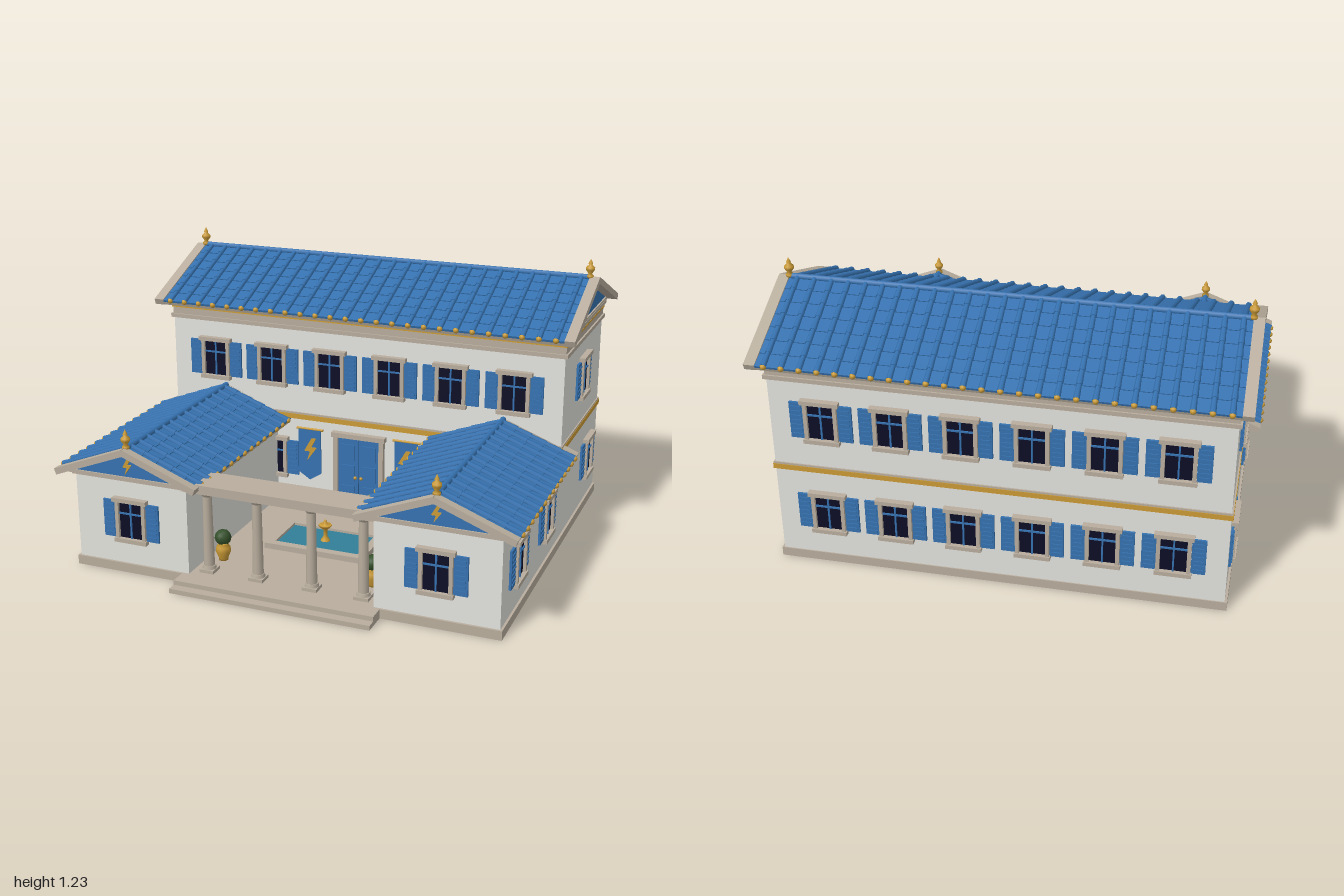
import * as THREE from 'three';
import { mergeGeometries } from 'three/addons/utils/BufferGeometryUtils.js';

const mat = (name, color, opts = {}) => {
  const m = new THREE.MeshStandardMaterial({ color, ...opts });
  m.name = name;
  return m;
};

export function createModel() {
  const wall = mat('plaster white', 0xe2e2dd);
  const stone = mat('limestone', 0xb8ad9d);
  const blue = mat('tile blue', 0x3672b0);
  const gold = mat('gold', 0xcb9b36);
  const glass = mat('dark glass', 0x0d0d26);
  const water = mat('pool water', 0x327f98);
  const green = mat('leaf green', 0x34502a);

  const root = new THREE.Group();
  root.name = 'courtyardVilla';

  const add = (parent, name, geo, material, x = 0, y = 0, z = 0) => {
    const m = new THREE.Mesh(geo, material);
    m.name = name;
    m.position.set(x, y, z);
    parent.add(m);
    return m;
  };
  const boxGeo = (w, h, d, x = 0, y = 0, z = 0) => new THREE.BoxGeometry(w, h, d).translate(x, y, z);
  // Box given by its limits on each axis
  const span = (parent, name, material, x0, x1, y0, y1, z0, z1) =>
    add(parent, name, boxGeo(x1 - x0, y1 - y0, z1 - z0), material, (x0 + x1) / 2, (y0 + y1) / 2, (z0 + z1) / 2);
  const polygon = (pts, depth) => new THREE.ExtrudeGeometry(
    new THREE.Shape(pts.map(p => new THREE.Vector2(...p))), { depth, bevelEnabled: false });
  const lathe = (pts, n = 12) => new THREE.LatheGeometry(pts.map(p => new THREE.Vector2(...p)), n);

  const boltGeo = h => polygon([[.05, .5], [-.28, -.08], [-.02, -.08], [-.15, -.5], [.28, .1], [.04, .1], [.25, .5]]
    .map(([x, y]) => [x * h, y * h]), 0.006);
  const finialGeo = lathe([[0, 0], [.016, 0], [.016, .01], [.008, .018], [.02, .036], [.02, .046], [.008, .058], [.01, .064], [0, .085]], 10);

  // Shuttered window, shared geometry per colour
  const W = 0.11, H = 0.165;
  const frameParts = [boxGeo(.16, .018, .03, 0, H / 2 + .009, .012), boxGeo(.15, .018, .028, 0, -H / 2 - .007, .012)];
  const barParts = [boxGeo(.007, H, .008, 0, 0, .009), boxGeo(W, .007, .008, 0, .03, .009)];
  for (const s of [-1, 1]) {
    frameParts.push(boxGeo(.016, H, .022, s * (W / 2 + .007), 0, .009));
    const sx = s * (W / 2 + .045);
    barParts.push(boxGeo(.058, H, .01, sx, 0, .005));
    for (let i = 0; i < 7; i++) barParts.push(boxGeo(.042, .007, .006, sx, (i - 3) * .021, .011));
  }
  const frameGeo = mergeGeometries(frameParts), barGeo = mergeGeometries(barParts);
  const paneGeo = boxGeo(W, H, .008, 0, 0, .003);
  const addWindow = (x, y, z, turn = 0) => {
    const g = new THREE.Group();
    g.name = 'window';
    add(g, 'windowPane', paneGeo, glass);
    add(g, 'windowFrame', frameGeo, stone);
    add(g, 'shuttersAndBars', barGeo, blue);
    g.position.set(x, y, z);
    g.rotation.y = turn;
    root.add(g);
  };

  // Gabled tile roof, ridge along local x, origin on the ridge
  function roof(name, len, hw, rise, ribs, courses, rake, boltH, ends) {
    const g = new THREE.Group();
    g.name = name;
    const L = Math.hypot(hw, rise), a = Math.atan2(rise, hw), step = L / courses, gap = len / ribs;
    const tiles = [], caps = [];
    for (let c = 0; c < courses; c++) {
      const z = (c + .5) * step;
      tiles.push(boxGeo(len, .01, step * 1.04).rotateX(-.06).translate(0, 0, z));
      for (let i = 0; i < ribs; i++)
        tiles.push(new THREE.CylinderGeometry(.0135, .0105, step, 7, 1)
          .rotateX(Math.PI / 2).translate(-len / 2 + (i + .5) * gap, .007, z));
    }
    for (let i = 0; i < ribs; i++)
      caps.push(new THREE.SphereGeometry(.013, 8, 6).translate(-len / 2 + (i + .5) * gap, .006, L));
    const tileGeo = mergeGeometries(tiles), capGeo = mergeGeometries(caps);
    for (const side of [0, 1]) {
      const turn = new THREE.Group(), slope = new THREE.Group();
      turn.name = 'roofSide';
      slope.name = 'roofSlope';
      turn.rotation.y = side * Math.PI;
      slope.rotation.x = a;
      turn.add(slope);
      g.add(turn);
      add(slope, 'roofTiles', tileGeo, blue);
      add(slope, 'eaveCaps', capGeo, gold);
      add(slope, 'soffit', boxGeo(len, .014, L), stone, 0, -.011, L / 2);
      for (const s of [-1, 1])
        add(slope, 'bargeboard', boxGeo(rake, .028, L + .004), stone, s * (len + rake) / 2, -.004, L / 2);
    }
    add(g, 'ridgeCap', new THREE.CylinderGeometry(.013, .013, len, 8).rotateZ(Math.PI / 2), blue, 0, .006, 0);
    for (const s of ends) {
      const gable = new THREE.Group();
      gable.name = 'gable';
      gable.rotation.y = s * Math.PI / 2;
      gable.position.x = s * (len / 2 - .012);
      const w = hw - .03, h = rise * w / hw;
      add(gable, 'pediment', polygon([[-w, -h], [w, -h], [0, 0]], .008), blue, 0, -.016, 0);
      add(gable, 'pedimentBase', boxGeo(w * 2, .014, .03), stone, 0, -h - .016, 0);
      add(gable, 'goldBolt', boltGeo(boltH), gold, 0, -rise * .6, .008);
      g.add(gable);
      add(g, 'finial', finialGeo, gold, s * (len / 2), .004, 0);
    }
    root.add(g);
    return g;
  }

  // Plinth and steps
  span(root, 'plinth', stone, -.94, .94, 0, .04, -.84, .8);
  span(root, 'lowerStep', stone, -.44, .44, 0, .02, .8, .91);
  span(root, 'upperStep', stone, -.44, .44, .02, .04, .8, .87);

  // Main block with its bands
  span(root, 'mainWalls', wall, -.93, .93, .04, .955, -.835, -.11);
  const band = (name, m, y0, y1, o) => span(root, name, m, -.93 - o, .93 + o, y0, y1, -.835 - o, -.11 + o);
  band('floorBand', gold, .447, .47, .008);
  band('floorBandTrim', stone, .47, .478, .006);
  band('lowerCornice', stone, .872, .89, .012);
  band('frieze', stone, .89, .945, .004);
  band('friezeLine', gold, .921, .929, .008);
  band('upperCornice', stone, .94, .956, .015);
  roof('mainRoof', 1.88, .44, .175, 26, 7, .045, .09, [-1, 1]).position.set(0, 1.138, -.47);

  // Side wings
  for (const s of [-1, 1]) {
    span(root, 'wingWalls', wall, s * .67 - .26, s * .67 + .26, .04, .43, -.12, .79);
    span(root, 'wingCornice', stone, s * .67 - .275, s * .67 + .275, .415, .432, -.1, .8);
    const r = roof('wingRoof', .92, .325, .125, 14, 5, .038, .075, [1]);
    r.position.set(s * .67, .562, .35);
    r.rotation.y = -Math.PI / 2;
    addWindow(s * .67, .24, .79);
    for (const z of [.56, .11]) addWindow(s * .93, .243, z, s * Math.PI / 2);
    addWindow(s * .93, .253, -.645, s * Math.PI / 2);
    addWindow(s * .93, .695, -.47, s * Math.PI / 2);
    addWindow(s * .43, .253, -.11);
  }

  // Window rows of the main block
  for (let i = 0; i < 6; i++) {
    const x = (i - 2.5) * .286;
    addWindow(x, .695, -.11);
    for (const y of [.253, .695]) addWindow(x, y, -.835, Math.PI);
  }

  // Double door
  for (const s of [-1, 1]) {
    span(root, 'doorLeaf', blue, s * .051 - .049, s * .051 + .049, .04, .39, -.11, -.098);
    for (const y of [.12, .22, .32])
      add(root, 'doorPanel', boxGeo(.066, .075, .008), blue, s * .051, y, -.096);
    add(root, 'doorHandle', new THREE.SphereGeometry(.008, 8, 6), gold, s * .014, .2, -.09);
    span(root, 'doorJamb', stone, s * .111 - .011, s * .111 + .011, .04, .39, -.11, -.085);
    // Banner with bolt
    add(root, 'banner', polygon([[-.055, .12], [-.055, -.09], [0, -.125], [.055, -.09], [.055, .12]], .006),
      blue, s * .235, .29, -.085);
    add(root, 'bannerBolt', boltGeo(.11), gold, s * .23, .315, -.079);
    add(root, 'bannerRod', new THREE.CylinderGeometry(.006, .006, .13, 8).rotateZ(Math.PI / 2), gold, s * .235, .412, -.084);
  }
  span(root, 'doorLintel', stone, -.13, .13, .39, .412, -.11, -.08);

  // Entrance colonnade
  span(root, 'portalBeam', stone, -.44, .44, .405, .432, .67, .79);
  span(root, 'portalBeamCap', stone, -.44, .44, .432, .45, .65, .805);
  const shaftGeo = lathe([[.022, 0], [.022, .3], [.018, .3], [.0175, .31]], 12);
  for (const x of [-.345, -.12, .12, .345]) {
    add(root, 'columnBase', boxGeo(.064, .014, .064), stone, x, .047, .73);
    add(root, 'columnTorus', new THREE.CylinderGeometry(.027, .03, .014, 12), stone, x, .061, .73);
    add(root, 'columnShaft', new THREE.CylinderGeometry(.019, .023, .32, 12), stone, x, .228, .73);
    add(root, 'columnCapital', new THREE.CylinderGeometry(.03, .02, .016, 12), stone, x, .385, .73);
    add(root, 'columnAbacus', boxGeo(.066, .014, .066), stone, x, .399, .73);
  }

  // Pool and fountain
  for (const s of [-1, 1]) {
    span(root, 'poolSide', stone, s * .21 - .018, s * .21 + .018, .04, .065, .16, .44);
    span(root, 'poolEnd', stone, -.192, .192, .04, .065, .3 + s * .122 - .018, .3 + s * .122 + .018);
  }
  span(root, 'poolWater', water, -.192, .192, .04, .054, .196, .404);
  add(root, 'fountain', lathe([[.022, 0], [.018, .012], [.009, .025], [.009, .055], [.03, .075], [.028, .08], [.008, .08], [.008, .095], [0, .105]], 10),
    gold, 0, .05, .3);

  // Potted shrubs
  for (const s of [-1, 1]) {
    add(root, 'pot', lathe([[0, 0], [.02, 0], [.02, .008], [.033, .04], [.03, .06], [.022, .072], [.028, .082], [0, .08]], 12),
      gold, s * .34, .04, .61);
    add(root, 'shrub', new THREE.IcosahedronGeometry(.036, 1), green, s * .34, .142, .61);
  }
  return root;
}
